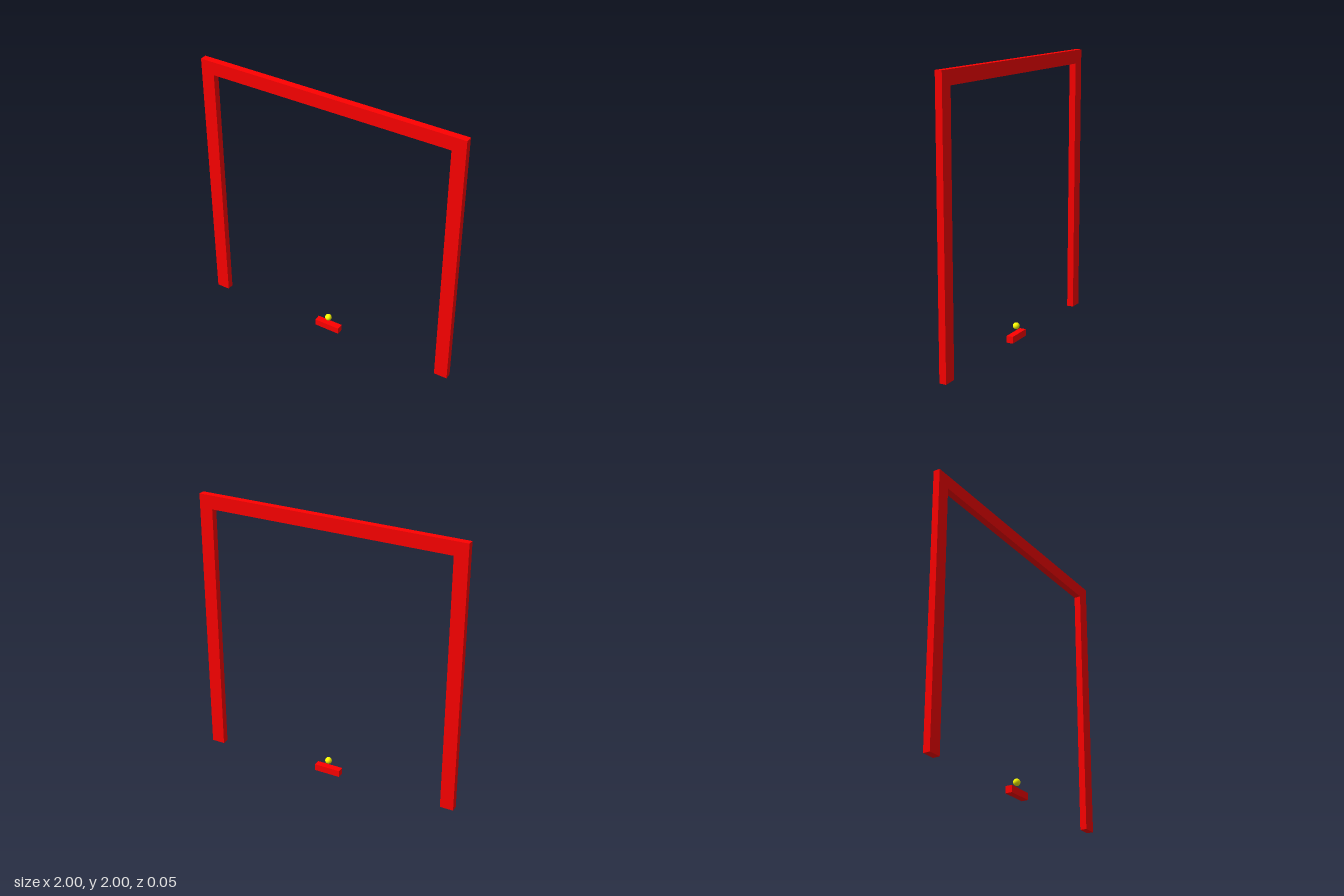
import * as THREE from 'three';

const DEPTH = 0.05;

export function createModel() {
  const model = new THREE.Group();
  const red = new THREE.MeshStandardMaterial({ color: 0xff0000 });
  const yellow = new THREE.MeshStandardMaterial({ color: 0xffff00 });

  const addPart = (name, geometry, material, x, y) => {
    const mesh = new THREE.Mesh(geometry, material);
    mesh.name = name;
    mesh.position.set(x, y, 0);
    model.add(mesh);
  };
  const bar = (width, height) => new THREE.BoxGeometry(width, height, DEPTH);

  // Frame: two full-height walls with the top bar fitted between them
  for (const [name, side] of [['leftWall', 1], ['rightWall', -1]]) {
    addPart(name, bar(0.1, 2), red, side * 0.95, 1);
  }
  addPart('topWall', bar(1.8, 0.1), red, 0, 1.95);

  // Paddle on the ground, with the ball floating above it
  addPart('paddle', bar(0.2, 0.05), red, 0, 0.025);
  addPart('ball', new THREE.SphereGeometry(0.025, 32, 16), yellow, 0, 0.1);

  return model;
}
